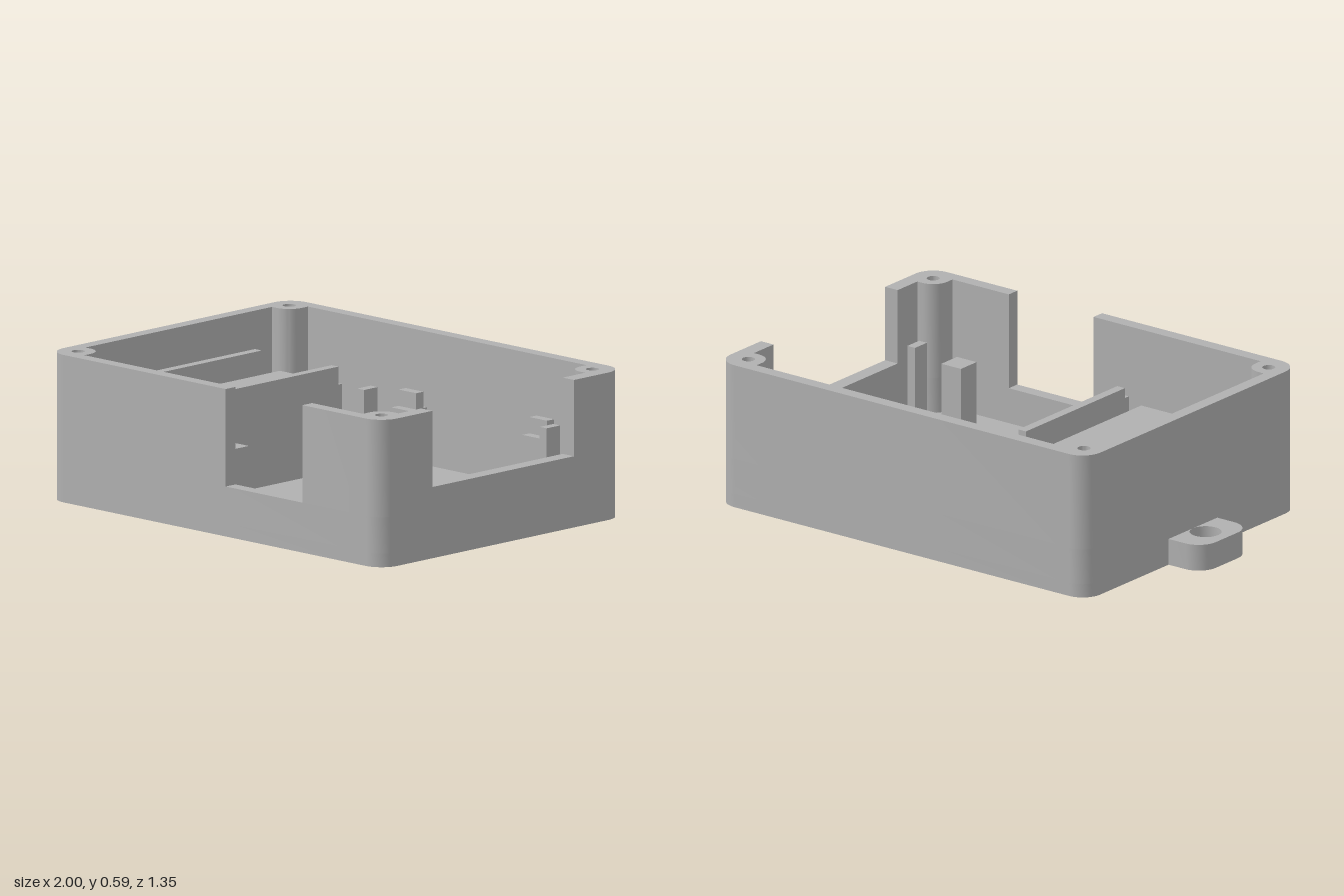
import * as THREE from 'three';
import { toCreasedNormals } from 'three/addons/utils/BufferGeometryUtils.js';

const grey = new THREE.MeshStandardMaterial({ color: 0xb0b0b0 });
grey.name = 'plain grey';

// Plan coordinates: x to the right, v = -z.
const V = (x, v) => new THREE.Vector2(x, v);
const OUT = { l: -0.832, r: 1, v: 0.677, rad: 0.088 };
const INN = { l: -0.778, r: 0.938, v: 0.623 };
const BOSS = { l: -0.75, r: 0.912, v: 0.588, rad: 0.068 };
const FLOOR = 0.055, SILL_FRONT = 0.2, SILL_SIDE = 0.285, TOP = 0.59;

// Corners counterclockwise: 0 front right, 1 back right, 2 back left, 3 front left.
const SX = [1, 1, -1, -1], SV = [-1, 1, 1, -1];
const side = (o, i) => (SX[i] > 0 ? o.r : o.l);

function arc(cx, cv, r, from, to, n = 12) {
  return Array.from({ length: n + 1 }, (_, k) => {
    const a = from + (to - from) * k / n;
    return V(cx + r * Math.cos(a), cv + r * Math.sin(a));
  });
}

function outerCorner(i) {
  const a = (i - 1) * Math.PI / 2;
  return arc(side(OUT, i) - SX[i] * OUT.rad, SV[i] * (OUT.v - OUT.rad), OUT.rad, a, a + Math.PI / 2);
}

// Inner wall line around a screw boss
function innerCorner(i) {
  const a = (i - 2) * Math.PI / 2;
  const pts = arc(side(BOSS, i), SV[i] * BOSS.v, BOSS.rad, a, a - Math.PI / 2);
  const onSide = p => V(side(INN, i), p.y), onEnd = p => V(p.x, SV[i] * INN.v);
  const first = pts[0], last = pts[pts.length - 1];
  return i % 2 ? [onSide(first), ...pts, onEnd(last)] : [onEnd(first), ...pts, onSide(last)];
}

const circle = (x, v, r) => new THREE.Path().absarc(x, v, r, 0, Math.PI * 2, true);
const screwHole = i => circle(side(BOSS, i), SV[i] * BOSS.v, 0.026);

function extrude(name, points, holes, y0, y1) {
  const shape = new THREE.Shape(points);
  shape.holes.push(...holes);
  const raw = new THREE.ExtrudeGeometry(shape, { depth: y1 - y0, bevelEnabled: false, curveSegments: 12 });
  raw.rotateX(-Math.PI / 2).translate(0, y0, 0);
  const mesh = new THREE.Mesh(toCreasedNormals(raw, Math.PI / 6), grey);
  mesh.name = name;
  return mesh;
}

function box(name, x0, x1, y0, y1, z0, z1) {
  const mesh = new THREE.Mesh(new THREE.BoxGeometry(x1 - x0, y1 - y0, z1 - z0), grey);
  mesh.position.set((x0 + x1) / 2, (y0 + y1) / 2, (z0 + z1) / 2);
  mesh.name = name;
  return mesh;
}

export function createModel() {
  const model = new THREE.Group();
  model.name = 'enclosure';
  const all = [0, 1, 2, 3];
  const outer = all.flatMap(outerCorner), inner = all.flatMap(innerCorner);

  // Floor and the unbroken lower wall
  model.add(extrude('floor', outer, [], 0, FLOOR));
  model.add(extrude('lowerWall', outer, [new THREE.Path(inner), ...all.map(screwHole)], FLOOR, SILL_FRONT));

  // Upper wall, interrupted by the front and side openings
  const fx0 = 0.145, fx1 = 0.565, sz = 0.395;
  model.add(extrude('upperWall', [
    V(OUT.r, sz), ...[1, 2, 3].flatMap(outerCorner), V(fx0, -OUT.v),
    V(fx0, -INN.v), ...[1, 2, 3].flatMap(innerCorner).reverse(), V(INN.r, sz),
  ], [1, 2, 3].map(screwHole), SILL_FRONT, TOP));
  model.add(extrude('cornerWall', [
    V(fx1, -OUT.v), ...outerCorner(0), V(OUT.r, -sz),
    V(INN.r, -sz), ...innerCorner(0).reverse(), V(fx1, -INN.v),
  ], [screwHole(0)], SILL_FRONT, TOP));
  model.add(box('sideSill', INN.r, OUT.r, SILL_FRONT, SILL_SIDE, -sz, sz));

  // Mounting tab with rounded corners, running through the wall
  const t = { l: -1, r: -0.717, v: 0.155, rad: 0.085 };
  const tab = all.flatMap(i => {
    const a = (i - 1) * Math.PI / 2;
    return arc(side(t, i) - SX[i] * t.rad, SV[i] * (t.v - t.rad), t.rad, a, a + Math.PI / 2);
  });
  model.add(extrude('mountingTab', tab, [circle(-0.895, 0, 0.063)], 0, 0.107));

  // Raised block between two retaining ribs
  model.add(box('raisedBlock', -0.61, -0.27, FLOOR, 0.38, -0.393, 0.393));
  for (const x of [-0.67, -0.25]) model.add(box('rib', x, x + 0.038, FLOOR, 0.47, -0.315, 0.315));

  // Board supports: pegs on the back pair only
  for (const x of [-0.055, 0.662]) {
    model.add(box('backSupport', x, x + 0.097, FLOOR, 0.31, -0.55, -0.45));
    model.add(box('supportPeg', x, x + 0.097, 0.31, 0.375, -0.53, -0.49));
    model.add(box('frontSupport', x, x + 0.097, FLOOR, 0.31, 0.443, 0.543));
  }

  // Slim guide posts
  for (const x of [-0.167, 0.833]) {
    for (const z of [-0.449, 0.371]) model.add(box('guidePost', x, x + 0.038, FLOOR, 0.38, z, z + 0.075));
  }
  return model;
}
